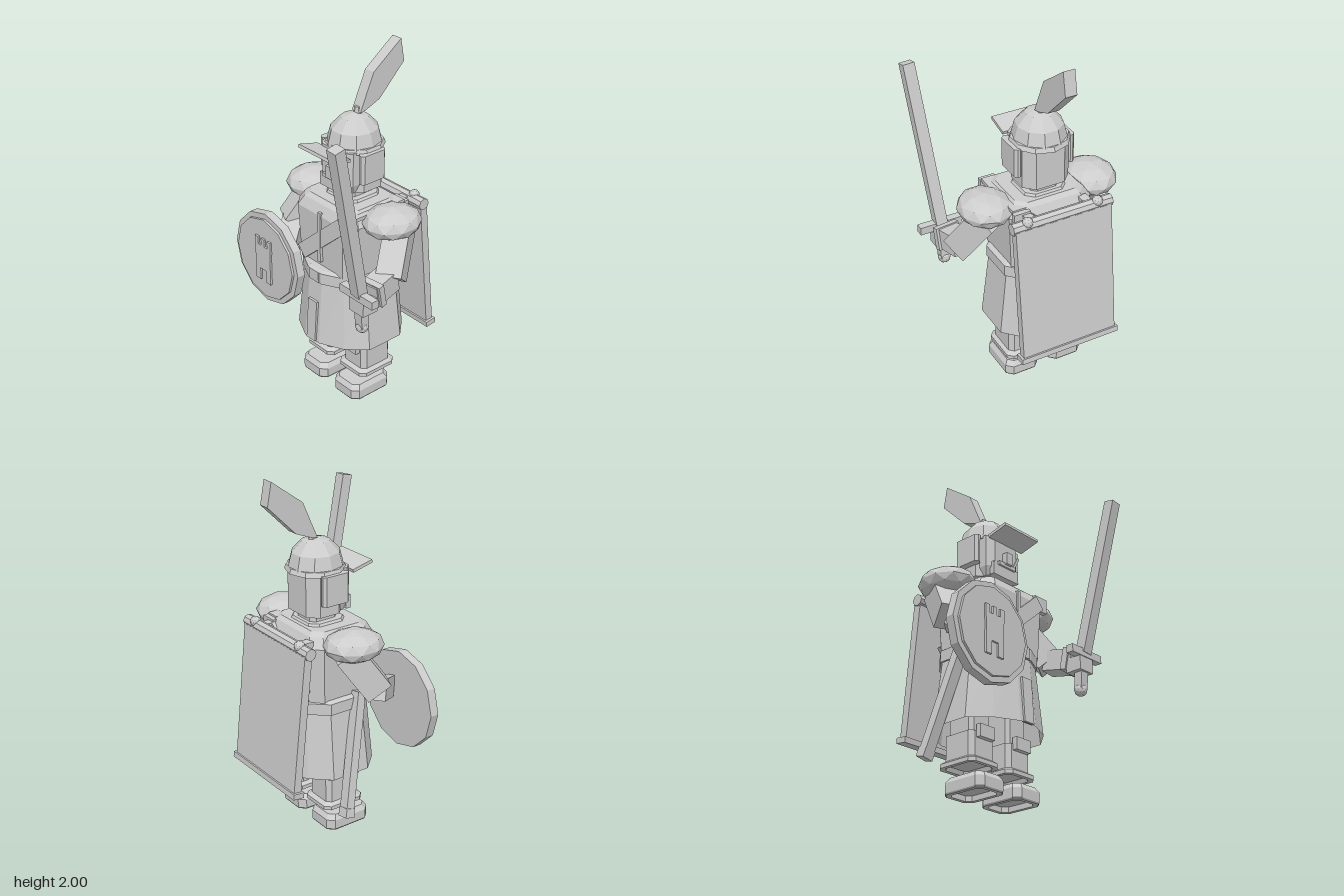
import * as THREE from 'three';

const armor = new THREE.MeshStandardMaterial({ color: 0xcccccc, flatShading: true, side: THREE.DoubleSide });
armor.name = 'plain grey';
const CX = 0.025; // body centre line

export function createModel() {
  const root = new THREE.Group();
  root.name = 'knight';

  const add = (name, geo, x = 0, y = 0, z = 0, parent = root) => {
    const m = new THREE.Mesh(geo, armor);
    m.name = name;
    m.position.set(x, y, z);
    parent.add(m);
    return m;
  };
  const box = (name, w, h, d, x, y, z) => add(name, new THREE.BoxGeometry(w, h, d), x, y, z);
  // box running between two points
  const beam = (name, a, b, w, d) => {
    const p = new THREE.Vector3(...a), q = new THREE.Vector3(...b);
    const dir = q.clone().sub(p);
    const m = box(name, w, dir.length(), d, ...p.clone().add(q).multiplyScalar(0.5).toArray());
    m.quaternion.setFromUnitVectors(new THREE.Vector3(0, 1, 0), dir.normalize());
    return m;
  };
  // box between two points, turned so its sides stay upright
  const limb = (name, a, b, w, h) => {
    const p = new THREE.Vector3(...a), q = new THREE.Vector3(...b);
    const m = box(name, w, h, p.distanceTo(q), ...p.clone().add(q).multiplyScalar(0.5).toArray());
    m.lookAt(q);
  };
  // closed cross-section from its right half, listed front to back
  const mirror = (half) => [...half, ...half.map(([x, z]) => [-x, z]).reverse()];
  const oct = (w, d, c) => mirror([[w - c, d], [w, d - c], [w, c - d], [w - c, -d]]);
  // solid through stacked rings [y, points]
  const loft = (rings, capped = true) => {
    const pos = [];
    const tri = (...pts) => pts.forEach((p) => pos.push(...p));
    const R = rings.map(([y, pts]) => pts.map(([x, z]) => [x, y, z]));
    const n = R[0].length, top = R[R.length - 1];
    for (let k = 0; k < R.length - 1; k++)
      for (let i = 0; i < n; i++) {
        const j = (i + 1) % n;
        tri(R[k][i], R[k][j], R[k + 1][j]);
        tri(R[k][i], R[k + 1][j], R[k + 1][i]);
      }
    for (let i = 1; capped && i < n - 1; i++) {
      tri(top[0], top[i], top[i + 1]);
      tri(R[0][0], R[0][i + 1], R[0][i]);
    }
    const g = new THREE.BufferGeometry();
    g.setAttribute('position', new THREE.Float32BufferAttribute(pos, 3));
    g.computeVertexNormals();
    return g;
  };
  const extrude = (pts, depth) =>
    new THREE.ExtrudeGeometry(new THREE.Shape(pts.map(([x, y]) => new THREE.Vector2(x, y))), { depth, bevelEnabled: false });
  // faceted ball with a vertex on top
  const ball = (r) => new THREE.IcosahedronGeometry(r, 1).rotateZ(-Math.atan(2 / (1 + Math.sqrt(5))));

  // boots and cuffs (hollow underneath), legs and knee plates
  for (const s of [-1, 1]) {
    const x = CX + s * 0.139;
    add('boot', loft([[0.03, oct(0.075, 0.11, 0.025)], [0, oct(0.075, 0.11, 0.025)],
      [0, oct(0.098, 0.134, 0.033)], [0.008, oct(0.103, 0.139, 0.035)],
      [0.062, oct(0.103, 0.139, 0.035)], [0.09, oct(0.085, 0.12, 0.03)]]), x, 0, -0.05);
    add('bootCuff', loft([[0.17, oct(0.08, 0.096, 0.02)], [0.145, oct(0.088, 0.104, 0.025)],
      [0.145, oct(0.11, 0.128, 0.03)], [0.167, oct(0.11, 0.128, 0.03)],
      [0.182, oct(0.09, 0.106, 0.025)]]), x, 0, -0.088);
    add('lowerLeg', loft([[0.175, oct(0.09, 0.104, 0.025)], [0.318, oct(0.09, 0.104, 0.025)]]), x, 0, -0.088);
    add('upperLeg', loft([[0.31, oct(0.075, 0.086, 0.02)], [0.5, oct(0.075, 0.086, 0.02)]]), x, 0, -0.088);
    box('kneePlate', 0.11, 0.07, 0.03, x, 0.317, 0.03);
  }

  // open skirt, belt and hanging belt end
  const skirt = (fx, fz) => mirror([[0.06, 0.285], [0.195, 0.22], [0.293, 0.115], [0.293, -0.115], [0.195, -0.22], [0.06, -0.29]]
    .map(([x, z]) => [x * fx, z * fz - 0.085]));
  add('skirt', loft([[0.36, skirt(1, 1)], [0.75, skirt(0.84, 0.89)]], false), CX);
  add('belt', loft([[0.735, skirt(0.88, 0.92)], [0.8, skirt(0.88, 0.92)], [0.812, skirt(0.82, 0.86)]]), CX);
  const hang = box('beltEnd', 0.072, 0.25, 0.02, CX, 0.488, 0.192);
  hang.rotation.x = -0.06;
  box('beltBuckle', 0.075, 0.065, 0.025, CX, 0.77, 0.17);

  // torso
  add('torso', loft([[0.8, oct(0.23, 0.2, 0.06)], [1.12, oct(0.245, 0.212, 0.06)],
    [1.175, oct(0.21, 0.185, 0.05)], [1.195, oct(0.19, 0.16, 0.05)]]), CX, 0, -0.075);
  box('chestRidge', 0.022, 0.3, 0.02, CX, 0.99, 0.135);
  // strap over the left shoulder
  for (const [name, z, zc] of [['chestStrap', 0.132, 0.118], ['backStrap', -0.284, -0.268]]) {
    beam(name, [-0.13, 0.84, z], [0.2, 1.13, z], 0.085, 0.02);
    box('strapClasp', 0.095, 0.085, 0.03, 0.22, 1.13, zc);
  }
  box('shoulderStrap', 0.08, 0.02, 0.36, 0.222, 1.172, -0.075);
  add('collar', loft([[1.17, oct(0.14, 0.13, 0.05)], [1.208, oct(0.115, 0.11, 0.04)]]), CX, 0, -0.095);
  add('neck', loft([[1.18, oct(0.08, 0.085, 0.025)], [1.27, oct(0.08, 0.085, 0.025)]]), CX, 0, -0.1);

  // head and face
  add('head', loft([[1.25, oct(0.105, 0.11, 0.03)], [1.3, oct(0.122, 0.13, 0.035)],
    [1.49, oct(0.122, 0.13, 0.035)]]), CX, 0, -0.085);
  box('beard', 0.2, 0.075, 0.03, CX, 1.285, 0.035);
  box('moustache', 0.13, 0.022, 0.025, CX, 1.322, 0.05);
  box('nose', 0.045, 0.07, 0.045, CX, 1.36, 0.056);
  beam('scar', [0.085, 1.33, 0.046], [0.128, 1.41, 0.046], 0.014, 0.009);

  // helmet: dome, brim, faceted neck shell, cheek guards and visor
  const disc = (r1, r2, h) => new THREE.CylinderGeometry(r1, r2, h, 10);
  const dome = add('helmetDome', new THREE.SphereGeometry(0.15, 10, 3, 0, Math.PI * 2, 0, Math.PI / 2), CX, 1.495, -0.105);
  dome.scale.set(0.98, 1.07, 1.03);
  add('helmetBrim', disc(0.155, 0.165, 0.026), CX, 1.49, -0.107);
  add('neckShell', loft([[1.25, oct(0.138, 0.115, 0.055)], [1.49, oct(0.138, 0.115, 0.055)]]), CX, 0, -0.113);
  for (const s of [-1, 1])
    add('cheekGuard', loft([[1.32, oct(0.022, 0.083, 0.015)], [1.485, oct(0.022, 0.083, 0.015)]]), CX + s * 0.155, 0, -0.092);
  const visor = box('visor', 0.27, 0.018, 0.13, CX, 1.481, 0.104);
  visor.rotation.x = -0.24;

  // plume
  add('plumeSocket', new THREE.CylinderGeometry(0.017, 0.024, 0.045, 6), CX, 1.66, -0.125);
  const plume = add('plume',
    extrude([[0.115, 1.655], [0.15, 1.66], [0.25, 1.7], [0.42, 1.87], [0.395, 2], [0.205, 1.86]], 0.066), CX - 0.033);
  plume.rotation.y = Math.PI / 2; // profile runs backward

  // shoulder armour
  for (const s of [-1, 1]) {
    const p = add('shoulderGuard', ball(1), CX + s * 0.318, 1.143, -0.092);
    p.scale.set(0.147, 0.085, 0.168);
    p.rotation.y = s > 0 ? 0 : Math.PI;
  }

  // sword arm
  limb('leftUpperArm', [0.35, 1.12, -0.15], [0.447, 0.875, 0.005], 0.14, 0.15);
  limb('leftForearm', [0.435, 0.88, 0.0], [0.46, 0.85, 0.17], 0.115, 0.12);
  limb('leftCuff', [0.456, 0.86, 0.125], [0.46, 0.853, 0.16], 0.14, 0.13);
  box('leftHand', 0.11, 0.085, 0.1, 0.455, 0.81, 0.205);

  // sword
  beam('swordBlade', [0.455, 0.88, 0.235], [0.509, 1.785, 0.44], 0.066, 0.062);
  box('swordGuard', 0.25, 0.045, 0.045, 0.456, 0.872, 0.238);
  beam('swordGrip', [0.453, 0.67, 0.21], [0.456, 0.87, 0.225], 0.055, 0.05);
  add('swordPommel', ball(0.036), 0.453, 0.667, 0.21);

  // shield arm
  limb('rightUpperArm', [-0.295, 1.12, -0.14], [-0.365, 0.89, 0.01], 0.14, 0.15);
  limb('rightForearm', [-0.365, 0.89, 0.0], [-0.235, 0.82, 0.16], 0.115, 0.12);
  add('rightHand', ball(0.06), -0.21, 0.81, 0.16);
  add('rightThumb', ball(0.03), -0.155, 0.82, 0.175);

  // shield with a small tower in relief
  const shield = new THREE.Group();
  shield.name = 'shield';
  shield.position.set(-0.308, 0.755, 0);
  root.add(shield);
  for (const [name, r, z0, z1] of [['shieldDisc', 0.278, 0.2, 0.25], ['shieldFace', 0.246, 0.25, 0.264]]) {
    const d = add(name, new THREE.CylinderGeometry(r, r, z1 - z0, 12), 0, 0, (z0 + z1) / 2, shield);
    d.rotation.x = Math.PI / 2;
  }
  const side = [[0.024, -0.065], [0.024, -0.14], [0.065, -0.14], [0.065, 0.04], [0.068, 0.06], [0.068, 0.13],
    [0.04, 0.13], [0.04, 0.085], [0.014, 0.085], [0.014, 0.13]];
  add('shieldTower', extrude([...side, ...side.map(([x, y]) => [-x, y]).reverse()], 0.014), 0, 0, 0.262, shield);

  // scabbard
  beam('scabbard', [-0.347, 0.17, -0.175], [-0.232, 0.83, -0.01], 0.062, 0.05);
  beam('scabbardTip', [-0.349, 0.165, -0.177], [-0.34, 0.215, -0.164], 0.068, 0.056);

  // back banner between a round top rod and a square bottom rail
  beam('backBanner', [CX, 0.335, -0.437], [CX, 1.13, -0.355], 0.57, 0.046);
  const rod = add('topRod', new THREE.CylinderGeometry(0.034, 0.034, 0.59, 8), CX, 1.142, -0.347);
  rod.rotation.z = Math.PI / 2;
  const rail = box('bottomRail', 0.6, 0.032, 0.066, CX, 0.346, -0.436);
  rail.rotation.x = 0.1;
  for (const s of [-1, 1]) {
    add('rodKnob', ball(0.03), CX + s * 0.208, 1.165, -0.357);
    box('rodBracket', 0.05, 0.04, 0.07, CX + s * 0.17, 1.14, -0.295);
  }
  return root;
}
